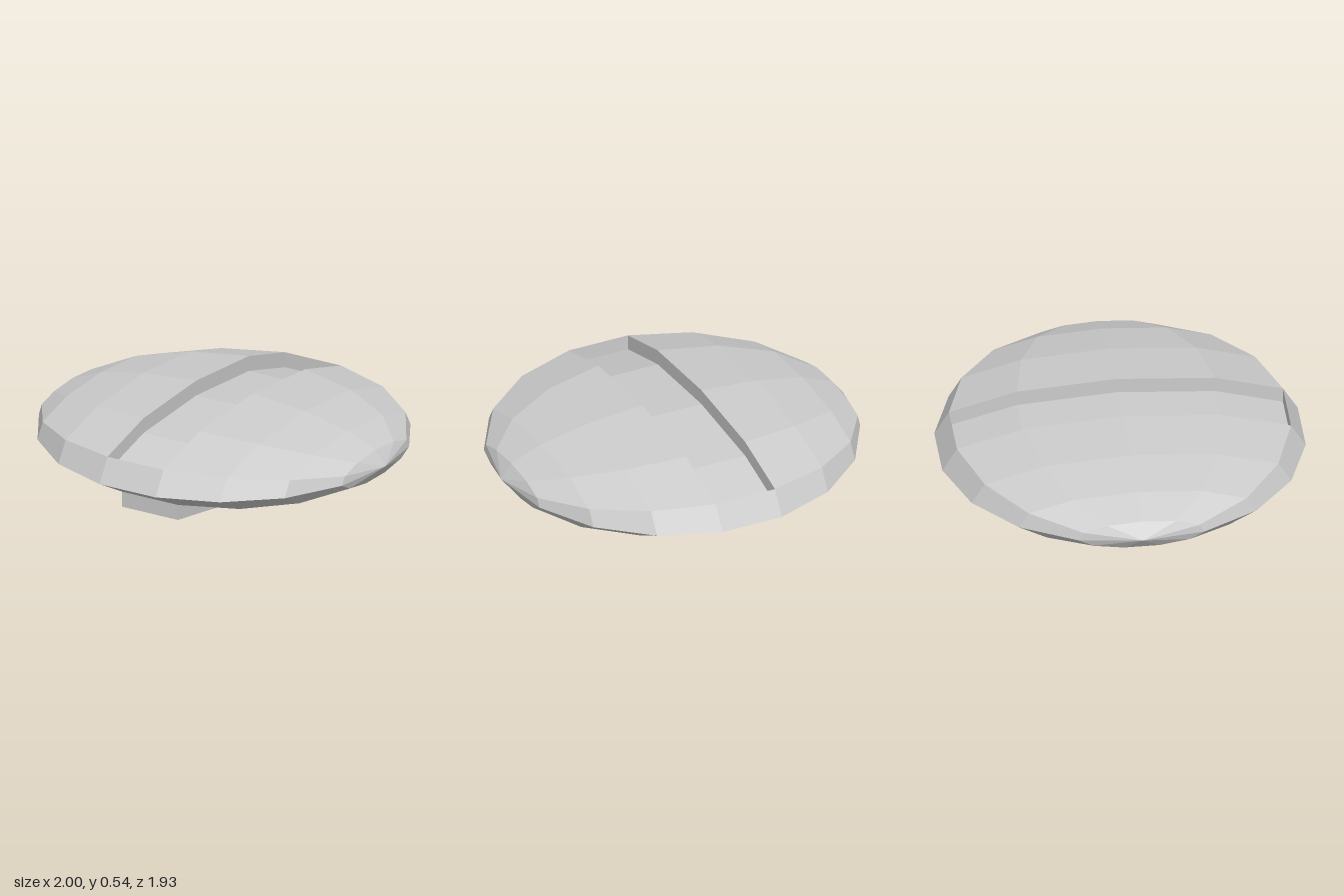
import * as THREE from 'three';

const RINGS = 9, SIDES = 11, STEP = 0.085;

// Point on the flattened low-poly ball whose poles lie on the x axis
function point(i, j, dy = 0) {
  const t = (i / RINGS) * Math.PI;
  const a = (j / SIDES) * Math.PI * 2;
  const r = Math.sin(t);
  return [-Math.cos(t), 0.236 * r * Math.cos(a) + dy, 0.99 * r * Math.sin(a)];
}

const quad = (out, a, b, c, d) => out.push(a, b, c, a, c, d);

const panel = (out, i, j, dy = 0) =>
  quad(out, point(i, j, dy), point(i, j + 1, dy), point(i + 1, j + 1, dy), point(i + 1, j, dy));

// Row of panels on one ring shifted straight down, joined to the hull by walls
function shiftedPanels(i, first, last) {
  const out = [];
  const wall = (i0, j0, i1, j1) =>
    quad(out, point(i0, j0), point(i1, j1), point(i1, j1, -STEP), point(i0, j0, -STEP));
  for (let j = first; j <= last; j++) {
    panel(out, i, j, -STEP);
    wall(i, j, i, j + 1);
    wall(i + 1, j + 1, i + 1, j);
  }
  wall(i + 1, first, i, first);
  wall(i, last + 1, i + 1, last + 1);
  return out;
}

function mesh(name, points) {
  const geo = new THREE.BufferGeometry();
  geo.setAttribute('position', new THREE.Float32BufferAttribute(points.flat(), 3));
  geo.computeVertexNormals();
  const m = new THREE.Mesh(geo, new THREE.MeshStandardMaterial({ color: 0xcccccc, flatShading: true }));
  m.name = name;
  return m;
}

export function createModel() {
  const group = new THREE.Group();
  group.name = 'saucer';
  const body = new THREE.Group();
  body.name = 'body';

  // Hull, leaving out the groove panels on top and the keel panel below
  const mid = 4;
  const hull = [];
  for (let i = 0; i < RINGS; i++) {
    for (let j = -2; j < SIDES - 2; j++) {
      if (i === mid && (j <= 1 || j === 4)) continue;
      if (i === 0) hull.push(point(0, 0), point(1, j + 1), point(1, j));
      else if (i === RINGS - 1) hull.push(point(i, j), point(i, j + 1), point(RINGS, 0));
      else panel(hull, i, j);
    }
  }
  body.add(mesh('hull', hull));

  // Sunken strip across the top and the block under the front
  body.add(mesh('topGroove', shiftedPanels(mid, -2, 1)));
  body.add(mesh('keel', shiftedPanels(mid, 4, 4)));

  // Slight roll to one side
  body.rotation.z = -0.01;
  body.position.y = 0.311;
  group.add(body);
  return group;
}
